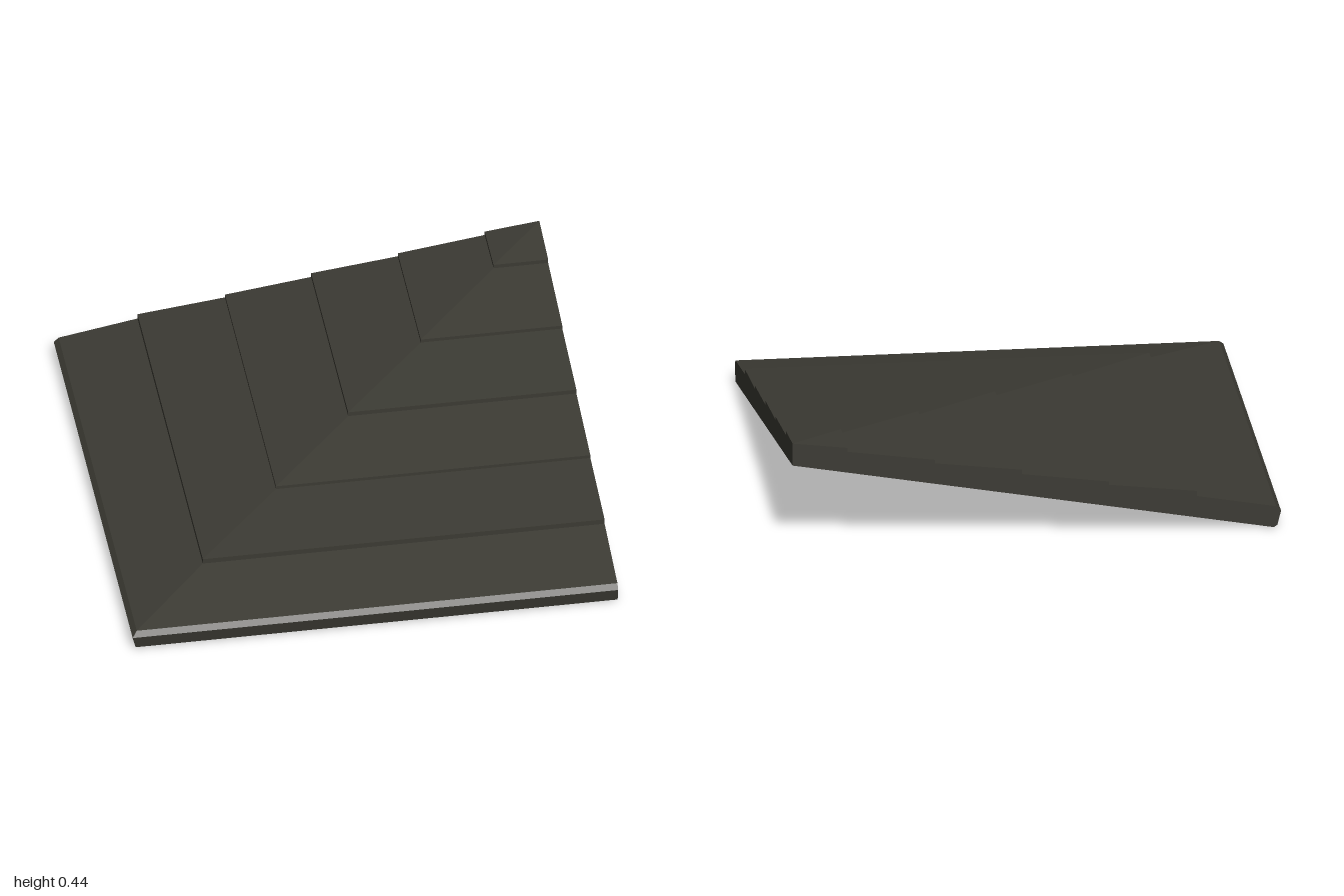
import * as THREE from 'three';

// Roof section as [distance up the slope, height]: underside, eave, then overlapping courses
const underside = [[1, 0.35], [-0.97, 0]];
const eave = [[-0.985, 0.01], [-1, 0.07], [-0.98, 0.09]];
const courses = [
  [-0.655, 0.148], [-0.655, 0.17],
  [-0.295, 0.212], [-0.295, 0.226],
  [0.06, 0.273], [0.06, 0.292],
  [0.417, 0.335], [0.417, 0.35],
  [0.775, 0.4], [0.775, 0.417],
  [1, 0.445],
];
const profile = [...underside, ...eave, ...courses];

// Where a profile point lies at the back edge, along the mitred hip, and at the side edge
const atBack = ([d, y]) => [d, y, -1];
const atHip = ([d, y]) => [d, y, -d];
const atSide = ([d, y]) => [1, y, -d];

// Strip of quads sweeping the profile between two stations
function slopeGeometry(from, to) {
  const positions = [];
  for (let i = 0; i < profile.length - 1; i++) {
    const p = profile[i], q = profile[i + 1];
    const a = from(p), b = to(p), c = to(q), d = from(q);
    // the strip narrows to a point at the peak, so drop the empty triangle there
    if (p[0] < 1) positions.push(...a, ...b, ...c);
    if (q[0] < 1) positions.push(...a, ...c, ...d);
    else if (p[0] >= 1) positions.push(...a, ...c, ...d);
  }
  const geometry = new THREE.BufferGeometry();
  geometry.setAttribute('position', new THREE.Float32BufferAttribute(positions, 3));
  geometry.computeVertexNormals();
  return geometry;
}

// Flat cut face with the stepped outline
function cutGeometry(mirror) {
  const outline = profile.map(([d, y]) => new THREE.Vector2(d * mirror, y));
  return new THREE.ShapeGeometry(new THREE.Shape(outline));
}

export function createModel() {
  const group = new THREE.Group();
  group.name = 'hipRoofCorner';
  const slate = new THREE.MeshStandardMaterial({ color: 0x3b3a33 });
  slate.name = 'darkSlate';

  const add = (name, geometry) => {
    const mesh = new THREE.Mesh(geometry, slate);
    mesh.name = name;
    group.add(mesh);
    return mesh;
  };

  // Two slopes meeting along the diagonal hip
  add('rightSlope', slopeGeometry(atBack, atHip));
  add('frontSlope', slopeGeometry(atHip, atSide));

  // Cut faces closing the open edges
  const sideCut = add('leftCutFace', cutGeometry(1));
  sideCut.rotation.y = Math.PI / 2;
  sideCut.position.x = 1;
  const backCut = add('backCutFace', cutGeometry(-1));
  backCut.rotation.y = Math.PI;
  backCut.position.z = -1;

  return group;
}
